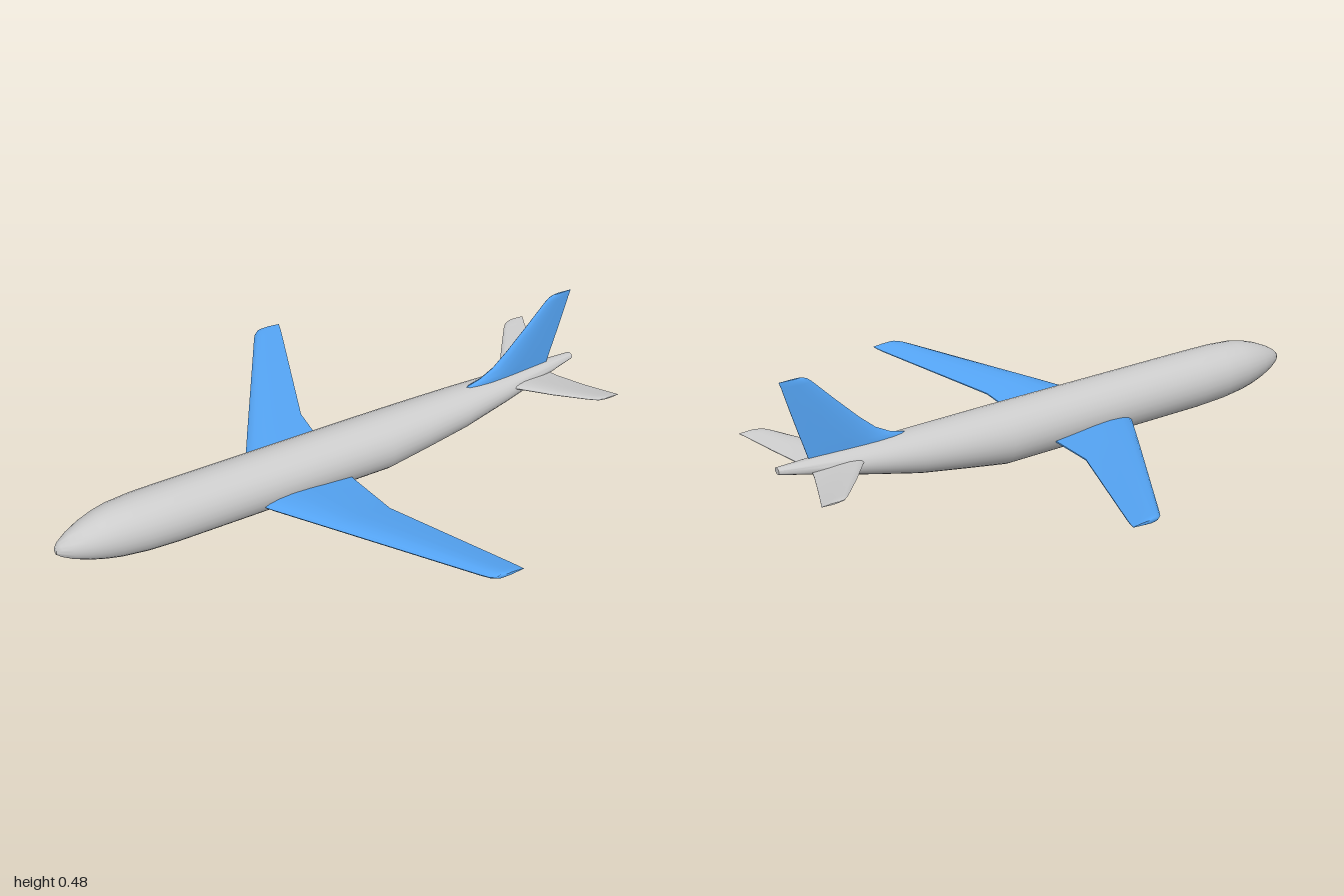
import * as THREE from 'three';
import { toCreasedNormals } from 'three/addons/utils/BufferGeometryUtils.js';

const grey = new THREE.MeshStandardMaterial({ color: 0xcccccc });
const blue = new THREE.MeshStandardMaterial({ color: 0x55a5f5 });
const MID = -0.018; // z of the fuselage axis

// Half outline of a symmetric aerofoil: chord fraction, half-thickness fraction
const UPPER = [[1, 0.12], [0.75, 0.5], [0.5, 0.86], [0.3, 1], [0.14, 0.85], [0.04, 0.5]];
const FOIL = [...UPPER, [0, 0], ...UPPER.map(([u, t]) => [u, -t]).reverse()];

// Skin closed rings of points, with a fan cap at each end
function loft(rings, crease) {
  const n = rings[0].length;
  const points = rings.flat();
  const index = [];
  for (let k = 0; k < rings.length - 1; k++) {
    for (let i = 0; i < n; i++) {
      const a = k * n + i, b = k * n + (i + 1) % n;
      index.push(a, b, b + n, a, b + n, a + n);
    }
  }
  const last = (rings.length - 1) * n;
  [[0, rings[0]], [last, rings[rings.length - 1]]].forEach(([start, ring], end) => {
    const centre = ring.reduce((sum, p) => sum.add(p), new THREE.Vector3()).divideScalar(n);
    const c = points.push(centre) - 1;
    for (let i = 0; i < n; i++) {
      const a = start + i, b = start + (i + 1) % n;
      index.push(c, end ? a : b, end ? b : a);
    }
  });
  const geometry = new THREE.BufferGeometry().setFromPoints(points);
  geometry.setIndex(index);
  return toCreasedNormals(geometry, crease);
}

function part(name, geometry, material) {
  const mesh = new THREE.Mesh(geometry, material);
  mesh.name = name;
  return mesh;
}

// Sideways surface; sections are [span, leading x, trailing x, centre y, thickness]
function sideFoil(sections, side, z0) {
  return loft(sections.map(([s, lead, trail, y, thick]) => FOIL.map(([u, t]) =>
    new THREE.Vector3(lead + u * (trail - lead), y + side * t * thick / 2, z0 + side * s))), 0.7);
}

export function createModel() {
  const model = new THREE.Group();
  model.name = 'airliner';

  // Fuselage: x, bottom y, top y, half width
  const hull = [
    [-1, 0.088, 0.113, 0.012], [-0.985, 0.076, 0.128, 0.026], [-0.95, 0.058, 0.15, 0.047],
    [-0.9, 0.04, 0.173, 0.068], [-0.85, 0.026, 0.19, 0.082], [-0.8, 0.016, 0.2, 0.092],
    [-0.71, 0.006, 0.206, 0.101], [-0.6, 0.001, 0.207, 0.103], [0.2, 0, 0.207, 0.103],
    [0.35, 0.026, 0.207, 0.094], [0.52, 0.056, 0.207, 0.081], [0.7, 0.102, 0.206, 0.06],
    [0.85, 0.142, 0.205, 0.038], [1, 0.182, 0.204, 0.015],
  ];
  const SIDES = 28;
  const rings = hull.map(([x, low, high, half]) => Array.from({ length: SIDES }, (_, i) => {
    const a = i / SIDES * Math.PI * 2;
    return new THREE.Vector3(x, (low + high) / 2 + Math.cos(a) * (high - low) / 2, MID + Math.sin(a) * half);
  }));
  model.add(part('fuselage', loft(rings, 0.8), grey));

  // Swept wings with a kinked trailing edge
  const wing = [
    [0.03, -0.325, 0.035, 0.063, 0.046], [0.1, -0.285, 0.035, 0.067, 0.048],
    [0.305, -0.168, 0.047, 0.085, 0.036], [0.76, 0.095, 0.212, 0.122, 0.026],
    [0.79, 0.113, 0.222, 0.125, 0.022], [0.805, 0.13, 0.226, 0.127, 0.018],
    [0.81, 0.155, 0.228, 0.128, 0.01],
  ];
  // Tailplane halves, curving up to the tips
  const tail = [
    [0.01, 0.69, 0.89, 0.168, 0.024], [0.06, 0.735, 0.905, 0.17, 0.022],
    [0.16, 0.81, 0.942, 0.18, 0.017], [0.265, 0.893, 0.983, 0.195, 0.011],
    [0.285, 0.913, 0.992, 0.198, 0.009], [0.293, 0.935, 0.995, 0.199, 0.005],
  ];
  for (const [label, side] of [['left', 1], ['right', -1]]) {
    model.add(part(label + 'Wing', sideFoil(wing, side, 0), blue));
    model.add(part(label + 'Tailplane', sideFoil(tail, side, MID), grey));
  }

  // Tail fin with a faired leading edge: y, leading x, trailing x, thickness
  const fin = [
    [0.19, 0.53, 0.888, 0.032], [0.205, 0.545, 0.892, 0.031], [0.222, 0.605, 0.897, 0.029],
    [0.25, 0.655, 0.905, 0.027], [0.3, 0.71, 0.92, 0.024], [0.38, 0.788, 0.943, 0.019],
    [0.46, 0.863, 0.965, 0.013], [0.475, 0.88, 0.97, 0.011], [0.481, 0.9, 0.972, 0.006],
  ];
  const finRings = fin.map(([y, lead, trail, thick]) => FOIL.map(([u, t]) =>
    new THREE.Vector3(lead + u * (trail - lead), y, MID + 0.004 - t * thick / 2)));
  model.add(part('tailFin', loft(finRings, 0.7), blue));

  return model;
}
